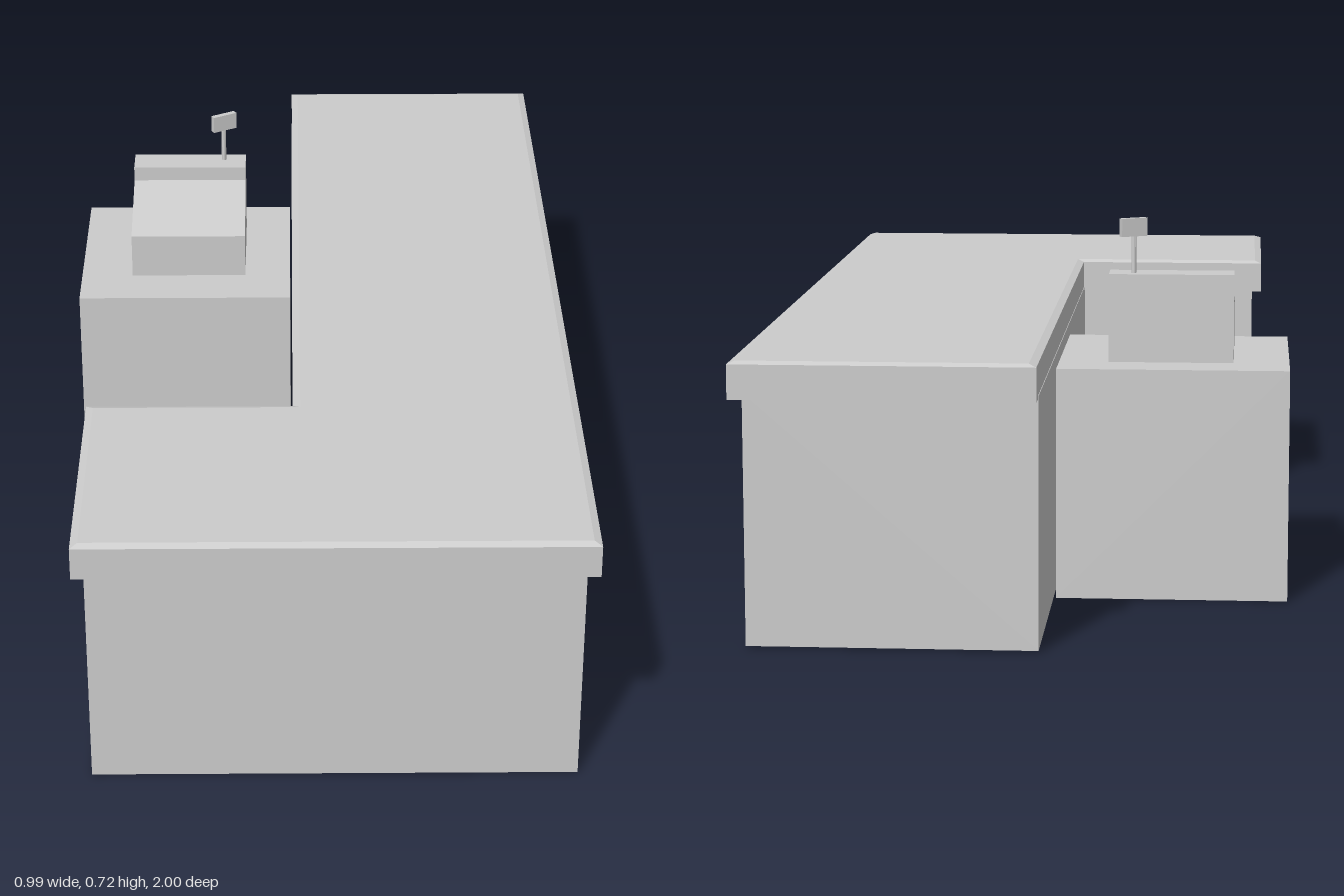
import * as THREE from 'three';

const material = new THREE.MeshStandardMaterial({ color: 0xcccccc, flatShading: true });

function addMesh(parent, name, geometry, x = 0, y = 0, z = 0) {
  const mesh = new THREE.Mesh(geometry, material);
  mesh.name = name;
  mesh.position.set(x, y, z);
  parent.add(mesh);
  return mesh;
}

const shapeFrom = (points) => new THREE.Shape(points.map(([x, y]) => new THREE.Vector2(x, y)));

// L-shaped slab lying flat; the shape's y is -z, extrusion goes up
function slab({ left, right, end, innerX, innerZ }, options) {
  const shape = shapeFrom([
    [left, -end], [right, -end], [right, end],
    [innerX, end], [innerX, -innerZ], [left, -innerZ],
  ]);
  return new THREE.ExtrudeGeometry(shape, options).rotateX(-Math.PI / 2);
}

export function createModel() {
  const model = new THREE.Group();
  model.name = 'checkoutCounter';

  // Counter body
  const body = { left: -0.425, right: 0.475, end: 0.96, innerX: -0.051, innerZ: 0.51 };
  addMesh(model, 'counterBody', slab(body, { depth: 0.46, bevelEnabled: false }), 0, 0.003, 0);

  // Worktop with a shallow chamfer round its upper edge
  const top = { left: -0.445, right: 0.495, end: 1, innerX: -0.05, innerZ: 0.49 };
  const worktop = slab(top, { depth: 0.063, bevelEnabled: false });
  addMesh(model, 'worktop', worktop, 0, 0.457, 0);
  const chamfer = slab(top, {
    depth: 0.001, bevelEnabled: true, bevelThickness: 0.005,
    bevelSize: 0.014, bevelOffset: -0.014, bevelSegments: 1,
  });
  addMesh(model, 'worktopChamfer', chamfer, 0, 0.519, 0);

  // Separate cabinet behind the counter
  addMesh(model, 'cabinet', new THREE.BoxGeometry(0.442, 0.445, 0.44), -0.276, 0.2225, -0.325);

  // Cash register: side profile (z, y) extruded across x
  const register = new THREE.Group();
  register.name = 'cashRegister';
  model.add(register);
  const profile = shapeFrom([
    [0.21, 0.445], [0.455, 0.445], [0.455, 0.615],
    [0.388, 0.615], [0.388, 0.585], [0.21, 0.537],
  ]);
  const housing = new THREE.ExtrudeGeometry(profile, { depth: 0.24, bevelEnabled: false });
  housing.rotateY(Math.PI / 2);
  addMesh(register, 'registerHousing', housing, -0.39, 0, 0);

  // Customer display on its pole
  addMesh(register, 'displayPole', new THREE.CylinderGeometry(0.005, 0.005, 0.09, 8), -0.197, 0.65, -0.43);
  const display = addMesh(register, 'displayHead', new THREE.BoxGeometry(0.055, 0.035, 0.012), -0.196, 0.703, -0.43);
  display.rotation.y = Math.PI / 6;

  return model;
}
